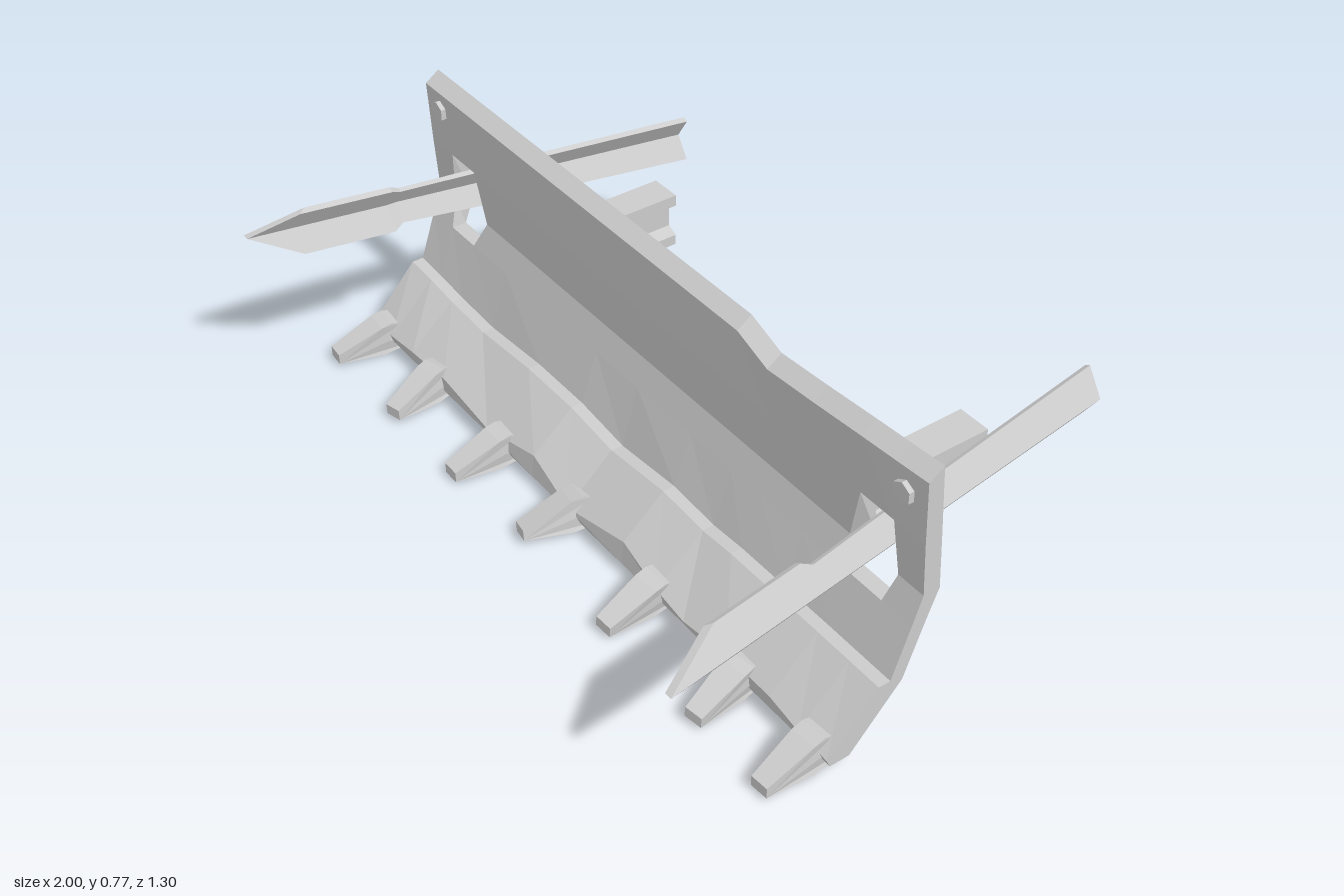
import * as THREE from 'three';

const mat = new THREE.MeshStandardMaterial({ color: 0xcccccc, flatShading: true });

function add(parent, name, geometry) {
  const mesh = new THREE.Mesh(geometry, mat);
  mesh.name = name;
  parent.add(mesh);
  return mesh;
}

// Polygon of [a, b] points extruded along z by a given depth
function extrude(points, depth, steps = 1) {
  const shape = new THREE.Shape(points.map(([a, b]) => new THREE.Vector2(a, b)));
  return new THREE.ExtrudeGeometry(shape, { depth, steps, bevelEnabled: false });
}

// Moves each vertex by a rule
function warp(geometry, rule) {
  const p = geometry.attributes.position;
  const v = new THREE.Vector3();
  for (let i = 0; i < p.count; i++) {
    rule(v.fromBufferAttribute(p, i));
    p.setXYZ(i, v.x, v.y, v.z);
  }
  geometry.computeVertexNormals();
  return geometry;
}

// Bent plate with a dented top edge, ragged lip and two holes
function bladeGeometry() {
  // Section as [z, y]: crest, front going down, lip, back going up
  const ring = [[0.015, 0.775], [0.055, 0.747], [0.046, 0.57], [0.036, 0.42], [0.062, 0.343],
    [0.11, 0.205], [0.143, 0.205], [0.28, 0.07], [0.27, 0.035], [0.215, 0.035],
    [0.075, 0.19], [0.02, 0.343], [-0.01, 0.42], [0, 0.57]];
  // Columns: x, top drop, fold drop, lip rise
  const cols = [[-1, 0, 0, -0.015], [-0.9, 0, 0.005, -0.005], [-0.79, 0, 0.015, 0.005],
    [-0.63, 0, 0.022, 0.012], [-0.4, 0, 0.003, -0.005], [-0.2, 0, 0.003, 0.03],
    [-0.02, 0, 0.023, -0.008], [0.2, 0, 0.002, 0.03], [0.36, 0, 0.012, 0.003],
    [0.47, 0.04, 0.004, -0.012], [0.63, 0.029, 0.002, 0.008], [0.79, 0.016, 0, 0.008],
    [0.9, 0.008, 0, -0.005], [1, 0, 0, -0.012]];
  const P = cols.map(([x, top, fold, lip]) => ring.map(([z, y], j) => {
    let px = x;
    if (j < 2) y -= top;
    if (j === 5 || j === 6) y -= fold;
    if (j === 7) { y += lip; z -= Math.max(0, lip) * 0.6; }
    if (j === 3 && Math.abs(x) === 0.79) px *= 0.957;
    if (j === 3 && Math.abs(x) === 0.9) px *= 1.02;
    return [px, y, z];
  }));
  const pos = [];
  const quad = (a, b, c, d) => pos.push(...a, ...b, ...c, ...a, ...c, ...d);
  const holes = [1, 11];
  const open = [2, 3, 11, 12];
  const n = ring.length;
  for (let i = 0; i < cols.length - 1; i++) {
    const A = P[i], B = P[i + 1];
    const hole = holes.includes(i);
    for (let j = 0; j < n; j++) {
      if (hole && open.includes(j)) continue;
      const k = (j + 1) % n;
      quad(A[j], A[k], B[k], B[j]);
    }
    if (!hole) continue;
    // Walls inside the hole
    for (const j of [2, 3]) {
      quad(A[j], A[j + 1], A[14 - j], A[15 - j]);
      quad(B[15 - j], B[14 - j], B[j + 1], B[j]);
    }
    quad(A[4], B[4], B[11], A[11]);
    quad(A[13], B[13], B[2], A[2]);
  }
  // End faces
  const caps = [[0, 1, 2, 13], [13, 2, 3, 12], [12, 3, 4, 11], [11, 4, 5, 10], [10, 5, 6, 7],
    [10, 7, 8, 9]];
  const L = P[cols.length - 1], R = P[0];
  for (const [a, b, c, d] of caps) {
    quad(L[a], L[b], L[c], L[d]);
    quad(R[d], R[c], R[b], R[a]);
  }
  const g = new THREE.BufferGeometry();
  g.setAttribute('position', new THREE.Float32BufferAttribute(pos, 3));
  g.computeVertexNormals();
  return g;
}

// Angle-iron spike: ridge outward, flanges cut back to a point, narrowed near the hole
function spikeGeometry() {
  const section = [[0, 0], [-0.046, 0.07], [-0.06, 0.062], [-0.02, 0], [-0.06, -0.062], [-0.046, -0.07]];
  const zs = [-0.65, 0.05, 0.23, 0.26, 0.65];
  const widths = [1, 0.85, 0.78, 1, 1];
  return warp(extrude(section, 4, 4), (v) => {
    const step = Math.round(v.z);
    const z = zs[step] - (step === 4 ? Math.abs(v.y) / 0.07 * 0.15 : 0);
    const t = (z + 0.65) / 1.3;
    v.set(v.x * widths[step] + 0.833 + 0.1 * t, v.y * widths[step] + 0.525 - 0.1 * t, z);
  });
}

// Forked tooth that clips over the lip, narrowing to its tip
function toothGeometry() {
  const profile = [[0.43, 0.045], [0.43, 0.015], [0.3, 0.003], [0.19, 0.015], [0.157, 0.072],
    [0.168, 0.086], [0.22, 0.036], [0.28, 0.045], [0.235, 0.09], [0.27, 0.1], [0.3, 0.094]];
  const g = extrude(profile, 1);
  g.rotateY(-Math.PI / 2).translate(0.5, 0, -0.28);
  return warp(g, (v) => { v.x *= v.z > 0.1 ? 0.05 : 0.072; });
}

export function createModel() {
  const model = new THREE.Group();
  model.name = 'spikedPloughBlade';
  add(model, 'blade', bladeGeometry());

  // Side spikes, one turned over to face the other way
  const spike = spikeGeometry();
  add(model, 'leftSpike', spike).position.x = -0.005;
  const rightSpike = add(model, 'rightSpike', spike);
  rightSpike.rotation.z = Math.PI;
  rightSpike.position.set(-0.01, 0.95, 0);

  // Rear mounting beams with an I section
  const half = [[0.047, 0.26], [0.047, 0.29], [0.016, 0.306], [0.016, 0.378], [0.047, 0.387], [0.047, 0.42]];
  const section = [...half, ...half.map(([x, y]) => [-x, y]).reverse()];
  const beam = extrude(section, 0.465).translate(0, 0, -0.46);
  // Trim the front end to follow the slope of the blade
  warp(beam, (v) => { if (v.z > -0.1) v.z = 0.01 + (0.42 - v.y) * 0.25; });
  for (const side of [-1, 1]) {
    add(model, side > 0 ? 'leftBeam' : 'rightBeam', beam).position.x = side * 0.622;
  }

  // Corner bolts
  const bolt = new THREE.CylinderGeometry(0.029, 0.029, 0.025, 6).rotateX(Math.PI / 2);
  add(model, 'rightBolt', bolt).position.set(-0.933, 0.695, 0.054);
  add(model, 'leftBolt', bolt).position.set(0.933, 0.68, 0.054);

  // Teeth along the lip: x, yaw, roll
  const tooth = toothGeometry();
  const teeth = [[-0.945, -0.08, 0], [-0.67, 0.2, 0.06], [-0.34, 0, 0], [-0.008, -0.2, 0.16],
    [0.335, 0.1, -0.1], [0.675, 0.2, -0.08], [0.94, 0.08, 0]];
  teeth.forEach(([x, yaw, roll], i) => {
    const mesh = add(model, `tooth${i + 1}`, tooth);
    mesh.position.set(x, Math.abs(roll) * 0.035, i === 3 ? 0.262 : 0.28);
    mesh.rotation.set(0, yaw, roll);
  });
  return model;
}
